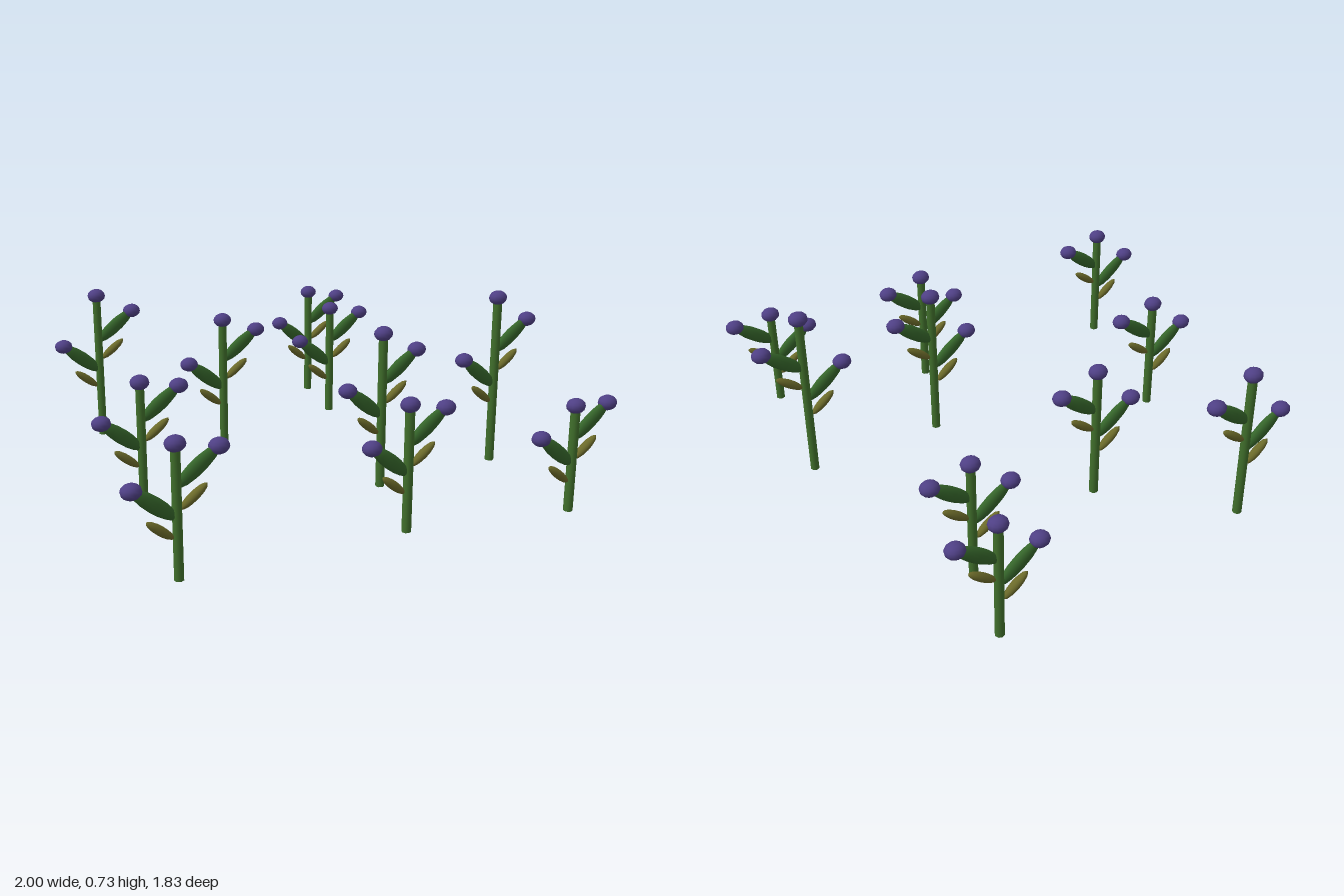
import * as THREE from 'three';

const stemMat = new THREE.MeshStandardMaterial({ color: 0x41702c });
const leafMat = new THREE.MeshStandardMaterial({ color: 0x35652a });
const youngLeafMat = new THREE.MeshStandardMaterial({ color: 0x6b6a2a });
const budMat = new THREE.MeshStandardMaterial({ color: 0x4f4085 });

const ball = new THREE.SphereGeometry(1, 12, 8);
const stemGeo = new THREE.CylinderGeometry(0.018, 0.018, 1, 8);

// x, z and height of every plant
const plants = [
  [-0.48, -0.8, 0.63], [0.64, -0.88, 0.49], [0.56, -0.56, 0.49],
  [-0.08, -0.4, 0.56], [-0.64, 0, 0.49], [0.24, 0.32, 0.63],
  [0.8, 0.32, 0.7], [-0.8, 0.64, 0.49], [0.08, 0.72, 0.49], [0.72, 0.88, 0.42],
];

function ellipsoid(name, mat, x, y, rx, ry, rz, angle = 0) {
  const mesh = new THREE.Mesh(ball, mat);
  mesh.name = name;
  mesh.position.set(x, y, 0);
  mesh.scale.set(rx, ry, rz);
  mesh.rotation.z = angle;
  return mesh;
}

const bud = (name, x, y) => ellipsoid(name, budMat, x, y, 0.038, 0.029, 0.034);

function createPlant(height) {
  const plant = new THREE.Group();
  plant.name = 'plant';

  const stem = new THREE.Mesh(stemGeo, stemMat);
  stem.name = 'stem';
  stem.scale.y = height;
  stem.position.y = height / 2;
  plant.add(stem, bud('topBud', 0, height));

  // A branch on each side: long leaf with a bud at its tip, small leaf below
  for (const side of [-1, 1]) {
    const tipY = side < 0 ? 0.5 * height + 0.11 : 0.66 * height + 0.128;
    const rise = side < 0 ? 0.13 : 0.115;
    const angle = side * Math.atan2(rise, 0.16);
    const label = side < 0 ? 'right' : 'left';
    plant.add(
      ellipsoid(label + 'Leaf', leafMat, side * 0.08, tipY - rise / 2, 0.105, 0.029, 0.019, angle),
      ellipsoid(label + 'SmallLeaf', youngLeafMat, side * 0.063, tipY - 0.16, 0.064, 0.017, 0.018, angle),
      bud(label + 'Bud', side * 0.16, tipY),
    );
  }
  return plant;
}

export function createModel() {
  const model = new THREE.Group();
  model.name = 'flowerPatch';
  for (const [x, z, height] of plants) {
    const plant = createPlant(height);
    plant.position.set(x, 0, z);
    model.add(plant);
  }
  return model;
}
